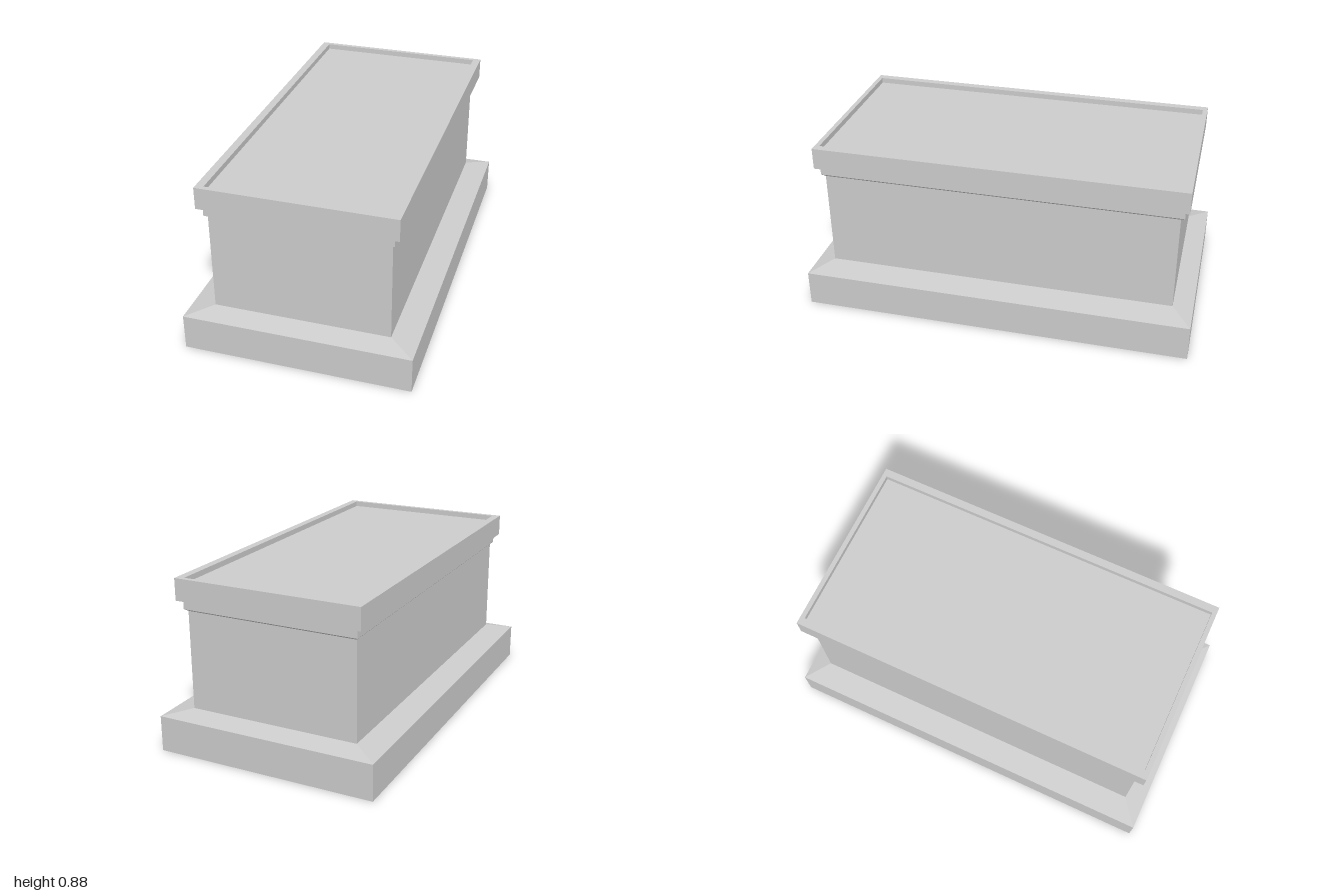
import * as THREE from 'three';

const material = new THREE.MeshStandardMaterial({ color: 0xcccccc, flatShading: true });

// Box whose top and bottom may differ in half width (x) and half depth (z)
function taperedBlock(name, y0, y1, [bx, bz], [tx, tz] = [bx, bz]) {
  const geometry = new THREE.BoxGeometry(2, y1 - y0, 2);
  geometry.translate(0, (y0 + y1) / 2, 0);
  const pos = geometry.attributes.position;
  const middle = (y0 + y1) / 2;
  for (let i = 0; i < pos.count; i++) {
    const top = pos.getY(i) > middle;
    pos.setX(i, pos.getX(i) * (top ? tx : bx));
    pos.setZ(i, pos.getZ(i) * (top ? tz : bz));
  }
  geometry.computeVertexNormals();
  const mesh = new THREE.Mesh(geometry, material);
  mesh.name = name;
  return mesh;
}

function rectangle(Type, x, z) {
  return new Type([[-x, -z], [x, -z], [x, z], [-x, z]].map(([a, b]) => new THREE.Vector2(a, b)));
}

// Rectangular frame lying flat, from y0 to y1
function frame(name, y0, y1, [ox, oz], [ix, iz]) {
  const shape = rectangle(THREE.Shape, ox, oz);
  shape.holes.push(rectangle(THREE.Path, ix, iz));
  const geometry = new THREE.ExtrudeGeometry(shape, { depth: y1 - y0, bevelEnabled: false });
  geometry.rotateX(-Math.PI / 2).translate(0, y0, 0);
  const mesh = new THREE.Mesh(geometry, material);
  mesh.name = name;
  return mesh;
}

export function createModel() {
  const group = new THREE.Group();
  group.name = 'pedestal';

  const base = [0.572, 1], body = [0.443, 0.898], neck = [0.456, 0.917];
  const cap = [0.483, 0.939], recess = [0.443, 0.915];

  group.add(
    // Plinth with its sloping upper edge
    taperedBlock('plinth', 0, 0.184, base),
    taperedBlock('plinthSlope', 0.184, 0.212, base, body),
    // Main block and the moulding under the cap
    taperedBlock('body', 0.212, 0.715, body),
    taperedBlock('neckFlare', 0.715, 0.727, body, neck),
    taperedBlock('neck', 0.727, 0.772, neck),
    // Cap with a raised rim around its sunken top
    taperedBlock('cap', 0.772, 0.855, cap),
    frame('capRim', 0.855, 0.883, cap, recess),
  );
  return group;
}
